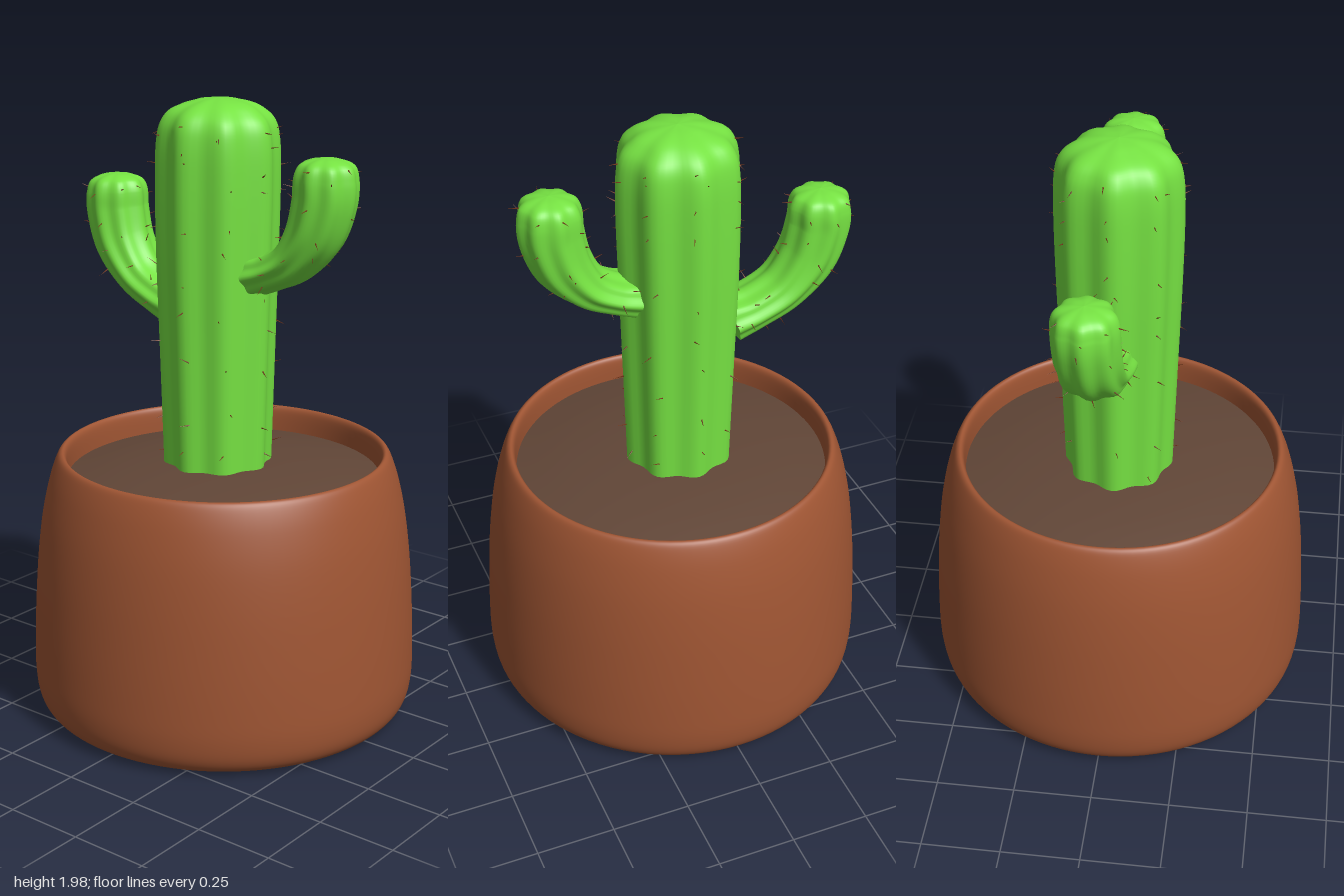
import * as THREE from 'three';
import { mergeGeometries } from 'three/addons/utils/BufferGeometryUtils.js';

const RIBS = 8, SIDES = 64, STEPS = 6;
const material = (color) => new THREE.MeshStandardMaterial({ color });
const toPoints = (pairs) => pairs.map(([x, y]) => new THREE.Vector2(x, y));

// small seeded generator for the spines
let seed = 7;
const random = () => {
  seed = (seed * 16807) % 2147483647;
  return seed / 2147483647;
};

// rows: [x, y, z, radius, in-plane squash]; returns surface(t, angle) of a ribbed stem
function stemSurface(rows) {
  const path = new THREE.CatmullRomCurve3(rows.map(([x, y, z]) => new THREE.Vector3(x, y, z)), false, 'catmullrom');
  const size = new THREE.CatmullRomCurve3(rows.map((r) => new THREE.Vector3(r[3], r[4] ?? 1, 0)), false, 'catmullrom');
  const side = new THREE.Vector3(0, 0, 1);
  return (t, angle) => {
    const centre = path.getPoint(t), s = size.getPoint(t);
    const across = side.clone().cross(path.getTangent(t)).normalize();
    const r = Math.max(s.x, 0) * (0.945 + 0.05 * Math.cos(RIBS * angle));
    const offset = across.multiplyScalar(r * s.y * Math.cos(angle)).addScaledVector(side, r * Math.sin(angle));
    return { point: centre.clone().add(offset), out: offset.clone().normalize(), centre };
  };
}

// skin of the stem with a flat cap at its foot
function stemGeometry(surface, rows) {
  const rings = (rows.length - 1) * STEPS, pos = [], index = [];
  for (let i = 0; i <= rings; i++) {
    for (let j = 0; j < SIDES; j++) pos.push(...surface(i / rings, (j / SIDES) * Math.PI * 2).point.toArray());
  }
  for (let i = 0; i < rings; i++) {
    for (let j = 0; j < SIDES; j++) {
      const a = i * SIDES + j, b = i * SIDES + ((j + 1) % SIDES);
      index.push(a, b, a + SIDES, b, b + SIDES, a + SIDES);
    }
  }
  const foot = pos.length / 3;
  pos.push(...pos.slice(0, SIDES * 3), ...surface(0, 0).centre.toArray());
  for (let j = 0; j < SIDES; j++) index.push(foot + SIDES, foot + ((j + 1) % SIDES), foot + j);
  const geo = new THREE.BufferGeometry();
  geo.setAttribute('position', new THREE.Float32BufferAttribute(pos, 3));
  geo.setIndex(index);
  geo.computeVertexNormals();
  return geo;
}

// thin spines scattered near the crests of the ribs
function spineGeometry(surface, perRib, tMax) {
  const up = new THREE.Vector3(0, 1, 0), spines = [];
  for (let rib = 0; rib < RIBS; rib++) {
    for (let k = 0; k < perRib; k++) {
      const t = ((k + random()) / perRib) * tMax;
      const { point, out } = surface(t, (rib / RIBS) * Math.PI * 2 + (random() - 0.5) * 0.3);
      const dir = out.clone().add(new THREE.Vector3(random() - 0.5, random() - 0.5, random() - 0.5)).normalize();
      const length = 0.022 + 0.022 * random();
      const cone = new THREE.ConeGeometry(0.0025, length, 4);
      cone.translate(0, length / 2 - 0.006, 0);
      cone.applyQuaternion(new THREE.Quaternion().setFromUnitVectors(up, dir));
      spines.push(cone.translate(point.x, point.y, point.z));
    }
  }
  return mergeGeometries(spines);
}

function createStem(name, rows, perRib, tMax, green, brown) {
  const group = new THREE.Group();
  group.name = name;
  const surface = stemSurface(rows);
  const skin = new THREE.Mesh(stemGeometry(surface, rows), green);
  skin.name = name + 'Skin';
  const spines = new THREE.Mesh(spineGeometry(surface, perRib, tMax), brown);
  spines.name = name + 'Spines';
  group.add(skin, spines);
  return group;
}

export function createModel() {
  const model = new THREE.Group();
  model.name = 'pottedCactus';
  const green = material(0x76e242), brown = material(0x7d3a1c);

  // pot: hollowed underside, bulging wall, rounded lip, inner wall
  const profile = new THREE.SplineCurve(toPoints([
    [0, 0.03], [0.18, 0.03], [0.34, 0.028], [0.44, 0.014], [0.525, 0], [0.58, 0.014], [0.61, 0.052], [0.622, 0.12],
    [0.622, 0.22], [0.616, 0.36], [0.604, 0.52], [0.586, 0.66], [0.562, 0.77], [0.538, 0.84], [0.522, 0.86],
    [0.509, 0.852], [0.504, 0.82], [0.503, 0.75],
  ])).getPoints(102);
  profile.forEach((p) => p.set(Math.max(p.x, 0), Math.max(p.y, 0)));
  const potMaterial = material(0x9f5533);
  potMaterial.side = THREE.DoubleSide;
  const pot = new THREE.Mesh(new THREE.LatheGeometry(profile, 96), potMaterial);
  pot.name = 'pot';

  // gently mounded soil
  const mound = new THREE.SplineCurve(toPoints([[0.504, 0.775], [0.35, 0.803], [0.18, 0.82], [0, 0.825]])).getPoints(16);
  const soil = new THREE.Mesh(new THREE.LatheGeometry(mound, 96), material(0x614637));
  soil.name = 'soil';

  // trunk and the two upturned arms
  const trunk = createStem('trunk', [
    [-0.025, 0.78, 0, 0.174], [-0.025, 1.0, 0, 0.18], [-0.025, 1.25, 0, 0.187], [-0.025, 1.5, 0, 0.194],
    [-0.023, 1.72, 0, 0.197], [-0.022, 1.85, 0, 0.193], [-0.021, 1.915, 0, 0.176], [-0.02, 1.952, 0, 0.135],
    [-0.02, 1.973, 0, 0.07], [-0.02, 1.981, 0, 0],
  ], 9, 0.66, green, brown);

  const leftArm = createStem('leftArm', [
    [0.13, 1.449, -0.005, 0.098, 0.7], [0.2, 1.472, -0.005, 0.098, 0.64], [0.28, 1.518, -0.005, 0.098, 0.74],
    [0.345, 1.603, -0.005, 0.1, 0.92], [0.376, 1.7, -0.005, 0.101, 1], [0.38, 1.77, -0.005, 0.1, 1],
    [0.38, 1.81, -0.005, 0.085, 1], [0.38, 1.827, -0.005, 0.048, 1], [0.38, 1.833, -0.005, 0, 1],
  ], 4, 0.72, green, brown);

  const rightArm = createStem('rightArm', [
    [-0.18, 1.303, -0.022, 0.1, 0.8], [-0.26, 1.328, -0.026, 0.1, 0.68], [-0.36, 1.381, -0.031, 0.1, 0.74],
    [-0.438, 1.475, -0.035, 0.102, 0.92], [-0.471, 1.578, -0.038, 0.102, 1], [-0.474, 1.642, -0.039, 0.1, 1],
    [-0.474, 1.678, -0.04, 0.085, 1], [-0.474, 1.694, -0.04, 0.048, 1], [-0.474, 1.7, -0.04, 0, 1],
  ], 4, 0.72, green, brown);

  model.add(pot, soil, trunk, leftArm, rightArm);
  return model;
}
